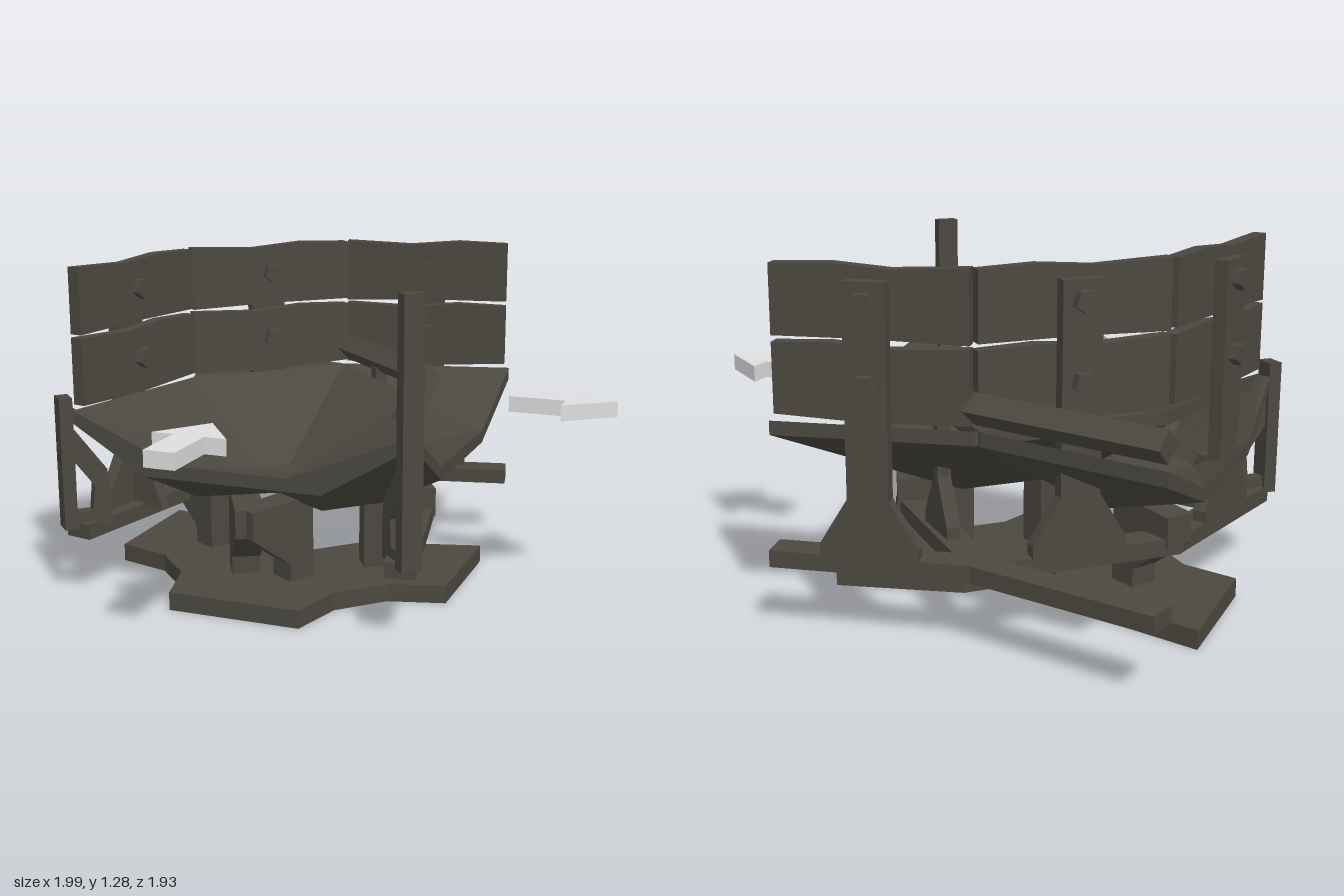
import * as THREE from 'three';

const CX = -0.265; // mirror plane of the tile
const wood = new THREE.MeshStandardMaterial({ color: 0x4b4840 });
wood.name = 'dark wood';
const grey = new THREE.MeshStandardMaterial({ color: 0xdedede });
grey.name = 'arrow grey';

function mesh(geo, name, mat = wood) {
  const m = new THREE.Mesh(geo, mat);
  m.name = name;
  return m;
}

// Extruded outline centred on local z = mid
function plate(points, depth, mid = 0) {
  const g = new THREE.ExtrudeGeometry(new THREE.Shape(points.map(p => new THREE.Vector2(...p))),
    { depth, bevelEnabled: false });
  return g.translate(0, 0, mid - depth / 2);
}

// Flat-faced solid through a row of rings, with an even number of points each
function loft(rings) {
  const pos = [], n = rings[0].length;
  const quad = (a, b, c, d) => [a, b, c, a, c, d].forEach(v => pos.push(...v));
  for (let r = 0; r + 1 < rings.length; r++) {
    for (let i = 0; i < n; i++) {
      const j = (i + 1) % n, s = rings[r], e = rings[r + 1];
      quad(s[i], s[j], e[j], e[i]);
    }
  }
  const s = rings[0], e = rings[rings.length - 1];
  for (let i = 0; i < n / 2 - 1; i++) {
    quad(s[n - 1 - i], s[n - 2 - i], s[i + 1], s[i]);
    quad(e[i], e[i + 1], e[n - 2 - i], e[n - 1 - i]);
  }
  const g = new THREE.BufferGeometry();
  g.setAttribute('position', new THREE.Float32BufferAttribute(pos, 3));
  g.computeVertexNormals();
  return g;
}

// Sweep a counterclockwise section along a level path with mitred corners
function sweep(path, y, section) {
  const dirs = path.slice(1).map((p, i) => new THREE.Vector2(p[0] - path[i][0], p[1] - path[i][1]).normalize());
  return loft(path.map((p, i) => {
    const a = dirs[Math.max(i - 1, 0)], b = dirs[Math.min(i, dirs.length - 1)];
    const d = a.clone().add(b).normalize(), k = 1 / d.dot(a);
    return section.map(([s, h]) => [p[0] + d.y * s * k, y + h, p[1] - d.x * s * k]);
  }));
}

// Group placed at the middle of a segment, local x along it
function segmentGroup(a, b, name) {
  const g = new THREE.Group();
  g.name = name;
  g.position.set((a[0] + b[0]) / 2, 0, (a[1] + b[1]) / 2);
  g.rotation.y = Math.atan2(a[1] - b[1], b[0] - a[0]);
  g.userData.length = Math.hypot(b[0] - a[0], b[1] - a[1]);
  return g;
}

// Upright plank with a flared foot
const postOutline = (w, foot, top) => [[-foot, 0.29], [foot, 0.29], [foot, 0.34], [w, 0.5], [w, top],
  [-w, top], [-w, 0.5], [-foot, 0.34]];

// Point at radius r and angle t around a front corner; side 1 turns right, -1 left
const arcPoint = (r, y, t, side) => [CX + side * (0.692 - r * Math.cos(t)), y, 0.435 - r * Math.sin(t)];

// Quarter-turn solid in three straight pieces, from four (radius, height) sections
function quarterTurn(sections, side) {
  const rings = sections.map((sec, i) => sec.map(([r, y]) => arcPoint(r, y, i * Math.PI / 6, side)));
  return loft(side < 0 ? rings.reverse() : rings);
}

// Trough section: its floor sags between the two mouths
const mouth = [[1.335, 0.74], [0.915, 0.565], [0.34, 0.565], [0.05, 0.74],
  [0.05, 0.69], [0.34, 0.515], [0.915, 0.515], [1.335, 0.69]];
const middle = [[1.36, 0.74], [0.915, 0.45], [0.4, 0.45], [0.05, 0.74],
  [0.05, 0.69], [0.5, 0.375], [0.85, 0.375], [1.36, 0.69]];
const slab = [[0.93, 0.07], [0.43, 0.07], [0.43, 0], [0.93, 0]];

// Flat arrow pointing along local +x, tip at the origin
function arrow(name) {
  const g = plate([[0, 0], [-0.185, 0.14], [-0.185, 0.057], [-0.4, 0.057], [-0.4, -0.057],
    [-0.185, -0.057], [-0.185, -0.14]], 0.06);
  return mesh(g.rotateX(-Math.PI / 2), name, grey);
}

export function createModel() {
  const model = new THREE.Group();
  model.name = 'woodenTurnTile';

  // Two overlapping turns, each with a trough, a base slab and two legs flaring along the track
  const legOutline = [[-0.055, 0.06], [0.055, 0.06], [0.055, 0.14], [0.23, 0.27], [0.23, 0.38], [-0.055, 0.4]];
  for (const side of [1, -1]) {
    model.add(mesh(quarterTurn([mouth, middle, middle, mouth], side), 'trough'));
    model.add(mesh(quarterTurn([slab, slab, slab, slab], side), 'baseSlab'));
    for (const [t, way] of [[Math.PI / 6, -1], [Math.PI / 3, 1]]) {
      const leg = mesh(plate(legOutline, 0.11), 'leg');
      leg.position.set(...arcPoint(0.68, 0, t, side));
      leg.rotation.y = Math.atan2(way * Math.cos(t), way * side * Math.sin(t));
      model.add(leg);
    }
  }

  // Two crossing ground frames
  const flip = path => path.map(([x, z]) => [2 * CX - x, z]);
  const framePath = [[-0.91, 0.43], [-0.77, -0.245], [-0.255, -0.755], [0.425, -0.9]];
  const frameSection = [[-0.055, -0.03], [0.055, -0.03], [0.055, 0.03], [-0.055, 0.03]];
  for (const path of [framePath, flip(framePath)]) model.add(mesh(sweep(path, 0.27, frameSection), 'groundFrame'));

  // Boarded wall in three sections, each with a post and two bolts
  const wallPath = [[-0.885, 0.43], [-0.75, -0.245], [-0.25, -0.735], [0.42, -0.875]];
  for (let s = 0; s < 3; s++) {
    const wall = segmentGroup(wallPath[s], wallPath[s + 1], 'wallSection');
    const h = wall.userData.length / 2 - 0.007;
    for (const [low, high, k] of [[0.76, 1.01, 1], [1.026, 1.272, -1]]) {
      wall.add(mesh(plate([[-h, low], [0, low - 0.008 * k], [h, low + 0.006], [h, high],
        [h * 0.4, high + 0.008], [-h * 0.2, high - 0.008], [-h, high + 0.004]], 0.05), 'board'));
    }
    wall.add(mesh(plate(postOutline(0.072, 0.17, 1.23), 0.05, -0.05), 'wallPost'));
    wall.add(mesh(plate([[-0.12, 0.29], [0.04, 0.29], [0.04, 0.33], [0, 0.5], [-0.04, 0.5]], 0.04)
      .rotateY(Math.PI / 2), 'postRib'));
    for (const y of [0.89, 1.16]) {
      const bolt = mesh(new THREE.CylinderGeometry(0.042, 0.042, 0.165, 5).toNonIndexed().rotateX(Math.PI / 2), 'bolt');
      bolt.geometry.computeVertexNormals();
      bolt.position.set(0, y, -0.0275);
      wall.add(bolt);
    }
    model.add(wall);
  }

  // Low diamond-section rail on the opposite side
  const railPath = [[0.4, 0.42], [0.26, -0.25], [-0.265, -0.75], [-0.96, -0.91]];
  model.add(mesh(sweep(railPath, 0.82, [[0, -0.055], [0.055, 0], [0, 0.055], [-0.055, 0]]), 'rail'));
  const railPost = segmentGroup(railPath[1], railPath[2], 'railPost');
  railPost.add(mesh(plate(postOutline(0.02, 0.11, 0.785), 0.05).translate(0.04, 0, 0), 'railPostPlank'));
  model.add(railPost);

  // Front corner posts facing the diagonal, with inner braces
  for (const [side, top] of [[1, 1.255], [-1, 0.79]]) {
    const corner = new THREE.Group();
    corner.name = 'cornerPost';
    corner.position.set(CX + side * 0.68, 0, 0.435);
    corner.rotation.y = side > 0 ? -Math.PI / 4 : -Math.PI * 3 / 4;
    const post = mesh(new THREE.BoxGeometry(0.05, top - 0.28, 0.08), 'post');
    post.position.y = (top + 0.28) / 2;
    corner.add(post);
    corner.add(mesh(plate([[-0.16, 0.28], [0, 0.28], [0, 0.34], [-0.09, 0.34], [-0.1, 0.44], [-0.02, 0.55],
      [-0.02, 0.68], [-0.15, 0.5], [-0.16, 0.42]], 0.05), 'brace'));
    model.add(corner);
  }

  // Direction arrows
  const arrowIn = arrow('entryArrow');
  arrowIn.position.set(CX, 0.75, 0.565);
  arrowIn.rotation.y = Math.PI / 2;
  const arrowOut = arrow('exitArrow');
  arrowOut.position.set(1, 0.75, -0.26);
  model.add(arrowIn, arrowOut);
  return model;
}
